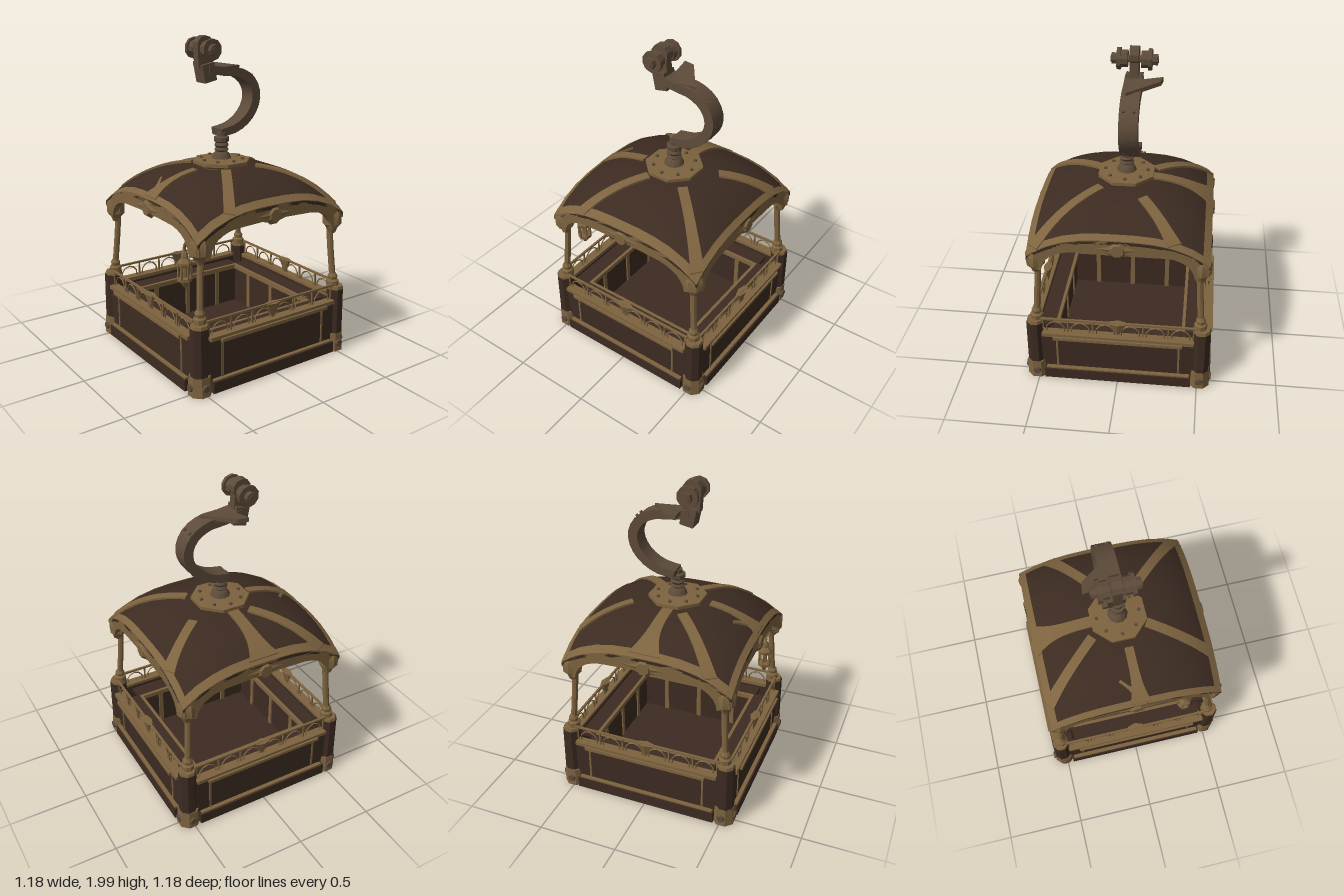
import * as THREE from 'three';
import { toCreasedNormals } from 'three/addons/utils/BufferGeometryUtils.js';

const mat = (name, color) => Object.assign(new THREE.MeshStandardMaterial({ color }), { name });
const wood = mat('dark wood', 0x3c2b21);
const brass = mat('aged brass', 0x7d633f);
const iron = mat('dull iron', 0x5d4b3a);

function add(parent, name, geo, material, x = 0, y = 0, z = 0, rx = 0, ry = 0, rz = 0) {
  const m = new THREE.Mesh(toCreasedNormals(geo, 0.6), material);
  m.name = name;
  m.position.set(x, y, z);
  m.rotation.set(rx, ry, rz);
  parent.add(m);
  return m;
}
const box = (w, h, d) => new THREE.BoxGeometry(w, h, d);
const cyl = (rt, rb, h, n = 8) => new THREE.CylinderGeometry(rt, rb, h, n);
const lathe = (pts, n = 8) => new THREE.LatheGeometry(pts.map(p => new THREE.Vector2(...p)), n);
const tube = (pts, r, seg = 10, n = 5) => new THREE.TubeGeometry(
  new THREE.CatmullRomCurve3(pts.map(p => new THREE.Vector3(...p))), seg, r, n);
const group = (parent, name) => {
  const g = new THREE.Group();
  g.name = name;
  parent.add(g);
  return g;
};

// Domed square canopy height
const roofY = (x, z) => 1.195 - 0.14 * (Math.abs(x / 0.54) ** 3 + Math.abs(z / 0.54) ** 3);

function roofShell() {
  const g = new THREE.BoxGeometry(1.08, 0.02, 1.08, 16, 1, 16), p = g.attributes.position;
  for (let i = 0; i < p.count; i++) p.setY(i, p.getY(i) + roofY(p.getX(i), p.getZ(i)));
  return g;
}

// Strap that follows the canopy from a to b and flares at b
function ribGeometry([ax, az], [bx, bz], w0, w1, h = 0.045) {
  const g = new THREE.BoxGeometry(1, h, 1, 1, 1, 10), p = g.attributes.position;
  const len = Math.hypot(bx - ax, bz - az), dx = (bx - ax) / len, dz = (bz - az) / len;
  for (let i = 0; i < p.count; i++) {
    const t = p.getZ(i) + 0.5, s = p.getX(i) * (w0 + (w1 - w0) * t ** 4);
    const x = THREE.MathUtils.clamp(ax + dx * len * t + dz * s, -0.54, 0.54);
    const z = THREE.MathUtils.clamp(az + dz * len * t - dx * s, -0.54, 0.54);
    p.setXYZ(i, x, roofY(x, z) + p.getY(i), z);
  }
  return g;
}

// Arched edge beam with a curved bracket at each end
function beamGeometry() {
  const s = new THREE.Shape();
  for (let i = 0; i <= 16; i++) {
    const x = -0.53 + 1.06 * i / 16, y = 1.055 - 0.13 * Math.abs(x / 0.53) ** 3;
    i ? s.lineTo(x, y) : s.moveTo(x, y);
  }
  s.lineTo(0.53, 0.86);
  s.lineTo(0.455, 0.83);
  s.quadraticCurveTo(0.44, 0.955, 0.28, 0.975);
  s.lineTo(0, 0.985);
  s.lineTo(-0.28, 0.975);
  s.quadraticCurveTo(-0.44, 0.955, -0.455, 0.83);
  s.lineTo(-0.53, 0.86);
  return new THREE.ExtrudeGeometry(s, { depth: 0.04, bevelEnabled: false, curveSegments: 6 });
}

// One side of the car, facing +z
function buildSide(parent) {
  const g = group(parent, 'side');
  add(g, 'wallPanel', box(0.98, 0.32, 0.04), wood, 0, 0.19, 0.53);
  add(g, 'skirtBar', box(0.92, 0.07, 0.045), wood, 0, 0.058, 0.56);
  add(g, 'skirtTrim', box(0.9, 0.01, 0.03), brass, 0, 0.097, 0.56);
  add(g, 'topRail', box(0.94, 0.024, 0.06), brass, 0, 0.357, 0.54);
  add(g, 'outerRail', box(0.8, 0.02, 0.022), brass, 0, 0.342, 0.572);
  for (const s of [-1, 1]) add(g, 'panelTrim', box(0.012, 0.23, 0.008), brass, s * 0.38, 0.215, 0.552);
  // Inside ledge along the wall, with a panelled front
  add(g, 'benchSeat', box(0.84, 0.025, 0.12), wood, 0, 0.318, 0.46);
  add(g, 'benchEdge', box(0.82, 0.03, 0.02), brass, 0, 0.318, 0.4);
  add(g, 'benchFront', box(0.85, 0.27, 0.02), wood, 0, 0.17, 0.425);
  for (const x of [-0.25, 0, 0.25]) add(g, 'benchStrip', box(0.03, 0.26, 0.012), brass, x, 0.175, 0.412);
  // Fence with slender arches
  add(g, 'fenceRail', box(0.96, 0.012, 0.014), brass, 0, 0.46, 0.535);
  const pitch = 0.155;
  for (let i = -3; i <= 3; i++) {
    add(g, 'fencePost', box(0.009, 0.09, 0.009), brass, i * pitch, 0.413, 0.535);
    if (i === 3) continue;
    const c = (i + 0.5) * pitch, arch = [[-0.056, 0.37], [-0.05, 0.415], [0, 0.443], [0.05, 0.415], [0.056, 0.37]];
    add(g, 'fenceArch', tube(arch.map(([x, y]) => [c + x, y, 0.535]), 0.005, 6, 4), brass);
  }
  add(g, 'fenceShield', cyl(0.058, 0.012, 0.085, 6), brass, 0, 0.42, 0.535).scale.z = 0.5;
  // Canopy edge and its central boss
  add(g, 'edgeBeam', beamGeometry(), brass, 0, 0, 0.5);
  add(g, 'beamBoss', cyl(0.04, 0.062, 0.03), brass, 0, 1.006, 0.538, Math.PI / 2, Math.PI / 8);
  for (const s of [-1, 1]) add(g, 'bossWing', cyl(0.018, 0.045, 0.12, 4), brass, s * 0.1, 1.012, 0.53, 0, 0, -s * Math.PI / 2).scale.z = 0.4;
  return g;
}

// One corner: foot, lower post, slender column and capital
function buildCorner(parent, sx, sz) {
  const g = group(parent, 'corner');
  add(g, 'cornerPost', cyl(0.055, 0.057, 0.32), wood, sx * 0.518, 0.27, sz * 0.518, 0, Math.PI / 8);
  add(g, 'cornerPostCap', cyl(0.052, 0.056, 0.02), brass, sx * 0.515, 0.44, sz * 0.515, 0, Math.PI / 8);
  add(g, 'foot', cyl(0.067, 0.072, 0.12), brass, sx * 0.512, 0.075, sz * 0.512, 0, Math.PI / 8);
  add(g, 'footBossFront', cyl(0.022, 0.028, 0.02, 8), iron, sx * 0.512, 0.07, sz * 0.578, sz * Math.PI / 2);
  add(g, 'footBossSide', cyl(0.022, 0.028, 0.02, 8), iron, sx * 0.578, 0.07, sz * 0.512, 0, 0, -sx * Math.PI / 2);
  add(g, 'columnBase', lathe([[0, 0.45], [0.04, 0.45], [0.04, 0.48], [0.028, 0.49], [0.032, 0.51], [0.02, 0.53], [0, 0.53]]), brass, sx * 0.505, 0, sz * 0.505);
  add(g, 'column', tube([[sx * 0.505, 0.5, sz * 0.505], [sx * 0.492, 0.68, sz * 0.492], [sx * 0.482, 0.85, sz * 0.482]], 0.02, 4, 8), brass);
  add(g, 'capital', lathe([[0, 0.79], [0.025, 0.8], [0.034, 0.83], [0.058, 0.855], [0.06, 0.925], [0.045, 0.95], [0.02, 0.975], [0, 0.98]]), brass, sx * 0.493, 0, sz * 0.493);
}

// Lantern hung on a curled bracket from the front right column
function buildLantern(parent) {
  const g = group(parent, 'lantern');
  g.position.set(-0.49, 0, 0.33);
  add(g, 'bracket', tube([[0, 0.83, 0.14], [0, 0.88, 0.1], [0, 0.892, 0.04], [0, 0.868, 0.008], [0, 0.83, 0]], 0.011), brass);
  add(g, 'bracketCurl', tube([[0, 0.885, 0.08], [0, 0.85, 0.09], [0, 0.82, 0.075]], 0.008, 6), brass);
  add(g, 'lanternTop', lathe([[0.045, 0.745], [0.046, 0.76], [0.022, 0.785], [0.02, 0.81], [0.008, 0.83], [0, 0.835]], 6), brass);
  add(g, 'lanternTopPlate', cyl(0.045, 0.04, 0.012, 6), brass, 0, 0.742);
  add(g, 'lanternBase', lathe([[0, 0.6], [0.012, 0.61], [0.02, 0.63], [0.044, 0.645], [0.044, 0.665], [0, 0.67]], 6), brass);
  add(g, 'candle', cyl(0.012, 0.014, 0.08, 6), brass, 0, 0.7);
  for (let i = 0; i < 6; i++) {
    const a = i * Math.PI / 3;
    add(g, 'lanternBar', box(0.009, 0.085, 0.009), brass, 0.038 * Math.sin(a), 0.702, 0.038 * Math.cos(a));
  }
}

// Curved hanger arm as a thick ribbon, tapered along its length
function armGeometry() {
  const pts = [[-0.01, 1.405], [0.1, 1.425], [0.19, 1.48], [0.245, 1.56], [0.253, 1.64], [0.21, 1.72], [0.12, 1.77], [0.02, 1.78], [-0.1, 1.8]];
  const curve = new THREE.CatmullRomCurve3(pts.map(p => new THREE.Vector3(p[0], p[1], 0)));
  const left = [], right = [], n = 18;
  for (let i = 0; i <= n; i++) {
    const c = curve.getPoint(i / n), t = curve.getTangent(i / n), h = 0.024 + 0.006 * Math.sin(Math.PI * i / n);
    left.push(new THREE.Vector2(c.x - t.y * h, c.y + t.x * h));
    right.unshift(new THREE.Vector2(c.x + t.y * h, c.y - t.x * h));
  }
  return new THREE.ExtrudeGeometry(new THREE.Shape([...left, ...right]), { depth: 0.11, bevelEnabled: false });
}

function buildHanger(parent) {
  const g = group(parent, 'hanger');
  add(g, 'roofPlate', lathe([[0, 1.18], [0.15, 1.18], [0.15, 1.205], [0.182, 1.22], [0.182, 1.24], [0.1, 1.245], [0, 1.25]]), brass, 0, 0, 0, 0, Math.PI / 8);
  for (let i = 0; i < 8; i++) {
    const a = i * Math.PI / 4;
    add(g, 'plateBolt', cyl(0.01, 0.012, 0.012, 6), iron, 0.13 * Math.cos(a), 1.247, 0.13 * Math.sin(a));
  }
  add(g, 'stem', lathe([[0, 1.24], [0.065, 1.24], [0.05, 1.275], [0.035, 1.29], [0.046, 1.3], [0.036, 1.315], [0.046, 1.33],
    [0.036, 1.345], [0.048, 1.355], [0.048, 1.38], [0.03, 1.385], [0.03, 1.41], [0, 1.41]], 10), iron);
  add(g, 'arm', armGeometry(), iron, 0, 0, -0.09);
  for (const [x, y, rz] of [[0.215, 1.472, -2.3], [0.278, 1.6, -1.55], [0.232, 1.742, -0.7]])
    for (const z of [-0.065, -0.005]) add(g, 'armBolt', cyl(0.009, 0.011, 0.016, 6), iron, x, y, z, 0, 0, rz);
  // Slanted fin beside the clamp
  const fin = new THREE.Shape([[-0.07, 0.21], [0, 0.2], [0.06, 0.12], [0.14, 0.01], [0.03, -0.01], [-0.05, 0.08]].map(p => new THREE.Vector2(...p)));
  add(g, 'fin', new THREE.ExtrudeGeometry(fin, { depth: 0.025, bevelEnabled: false }), iron, 0, 1.785, 0, -Math.PI / 2 + 0.1);
  // Clamp head with twin rollers on a cross axle
  add(g, 'clampFoot', box(0.085, 0.11, 0.1), iron, -0.095, 1.78, -0.035, 0, 0, 0.2);
  add(g, 'clampBody', box(0.1, 0.15, 0.05), iron, -0.112, 1.885, -0.035, 0, 0, 0.06);
  add(g, 'clampCap', cyl(0.058, 0.058, 0.055, 10), iron, -0.11, 1.942, -0.035, Math.PI / 2);
  add(g, 'axle', cyl(0.022, 0.022, 0.28, 8), iron, -0.11, 1.92, -0.035, Math.PI / 2);
  for (const s of [-1, 1]) {
    add(g, 'roller', cyl(0.052, 0.052, 0.05, 10), iron, -0.11, 1.92, -0.035 + s * 0.065, Math.PI / 2);
    add(g, 'rollerFlange', cyl(0.066, 0.066, 0.022, 10), iron, -0.11, 1.92, -0.035 + s * 0.092, Math.PI / 2);
    add(g, 'rollerHub', cyl(0.035, 0.035, 0.05, 8), iron, -0.11, 1.92, -0.035 + s * 0.11, Math.PI / 2);
  }
}

export function createModel() {
  const model = new THREE.Group();
  model.name = 'gondola';
  add(model, 'floor', box(1.08, 0.025, 1.08), wood, 0, 0.035, 0);
  add(model, 'roof', roofShell(), wood);
  for (let i = 0; i < 4; i++) buildSide(model).rotation.y = i * Math.PI / 2;
  for (const sx of [-1, 1]) for (const sz of [-1, 1]) buildCorner(model, sx, sz);
  // Canopy straps, from the centre outwards: start, end, widths
  const ribs = [
    [[0, -0.16], [0, -0.52], 0.07, 0.2],
    [[-0.21, 0.02], [-0.53, 0.02], 0.055, 0.13],
    [[-0.39, -0.08], [-0.47, 0], 0.015, 0.05],
    [[-0.1, -0.18], [-0.41, -0.53], 0.06, 0.08],
    [[0.16, 0.14], [0.52, 0.5], 0.06, 0.085],
    [[-0.08, 0.16], [-0.31, 0.52], 0.06, 0.07],
    [[0.25, -0.12], [0.53, -0.33], 0.06, 0.09],
  ];
  for (const r of ribs) add(model, 'roofRib', ribGeometry(...r), brass);
  // Border strap around the canopy edge
  for (const s of [-1, 1]) {
    add(model, 'roofBorder', ribGeometry([-0.54, s * 0.518], [0.54, s * 0.518], 0.044, 0.044, 0.032), brass);
    add(model, 'roofBorder', ribGeometry([s * 0.523, -0.54], [s * 0.523, 0.54], 0.034, 0.034, 0.032), brass);
  }
  buildLantern(model);
  buildHanger(model);
  return model;
}
